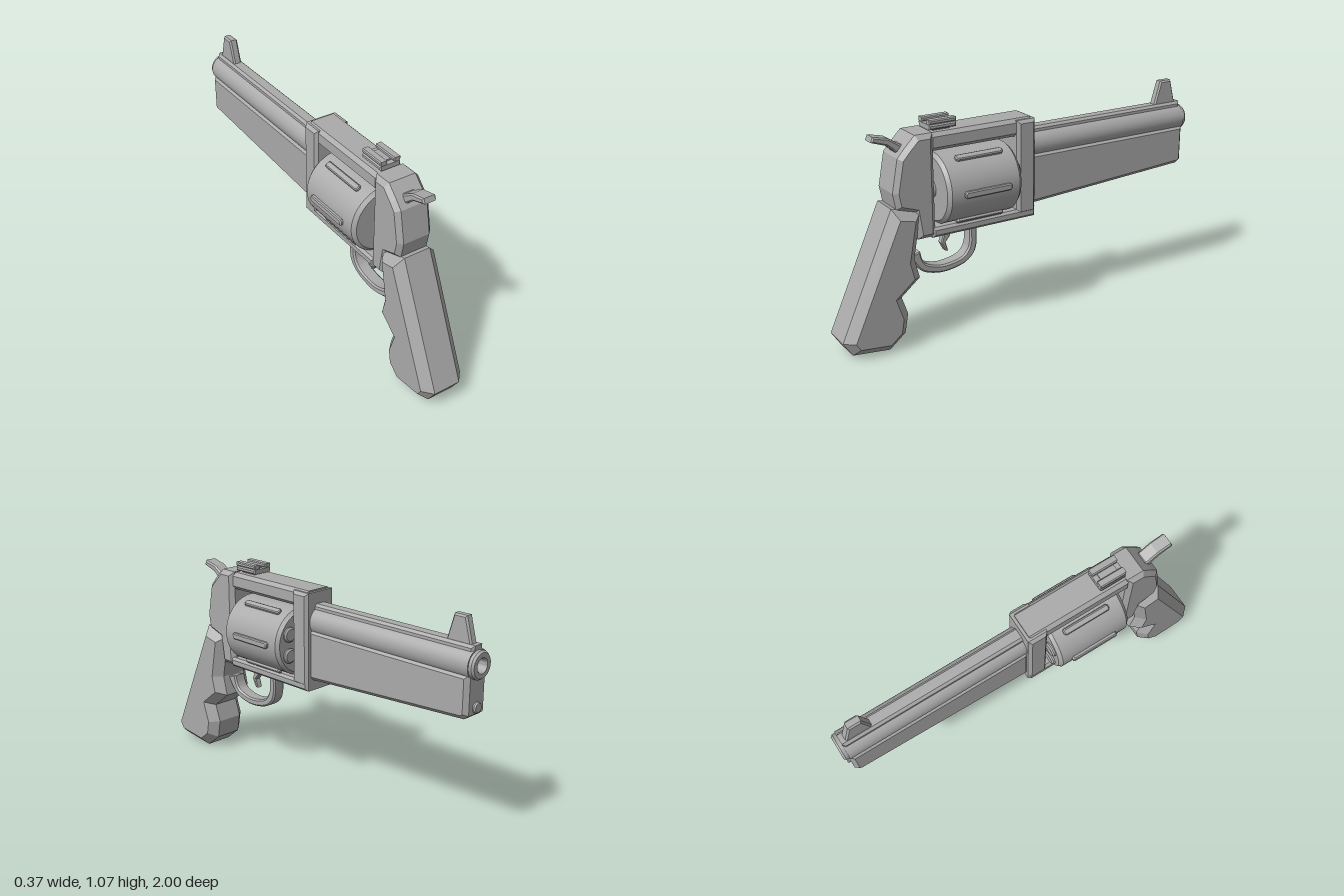
import * as THREE from 'three';
import { toCreasedNormals } from 'three/addons/utils/BufferGeometryUtils.js';

export function createModel() {
  const model = new THREE.Group();
  model.name = 'revolver';
  const steel = new THREE.MeshStandardMaterial({ color: 0xaaaaaa });
  steel.name = 'steel grey';

  const add = (name, geometry, parent = model) => {
    const mesh = new THREE.Mesh(geometry, steel);
    mesh.name = name;
    parent.add(mesh);
    return mesh;
  };

  // Side outline in [z, y], centred on x = 0, with chamfered side edges
  const extrude = (shape, width, bevel, size = bevel) => {
    const depth = width - 2 * bevel;
    const g = new THREE.ExtrudeGeometry(shape, {
      depth, bevelEnabled: bevel > 0, bevelThickness: bevel,
      bevelSize: size, bevelOffset: -size, bevelSegments: 1, curveSegments: 8,
    });
    return g.translate(0, 0, -depth / 2).rotateY(-Math.PI / 2);
  };
  const outline = (pts) => new THREE.Shape(pts.map(([z, y]) => new THREE.Vector2(z, y)));
  const plate = (name, pts, width, bevel, size) => add(name, extrude(outline(pts), width, bevel, size));
  const bar = (name, z0, z1, y0, y1, width, bevel) =>
    plate(name, [[z0, y0], [z1, y0], [z1, y1], [z0, y1]], width, bevel);

  // Turned part along z; profile is [radius, z] from the rear (+z) to the muzzle (-z)
  const turned = (name, pts, x, y, sides = 32, parent = model) => {
    const g = new THREE.LatheGeometry(pts.map(([r, z]) => new THREE.Vector2(r, -z)), sides);
    g.rotateX(-Math.PI / 2);
    const mesh = add(name, toCreasedNormals(g, 0.5), parent);
    mesh.position.set(x, y, 0);
    return mesh;
  };

  // Grip with finger grooves
  plate('grip', [
    [0.73, 0.70], [0.58, 0.665], [0.622, 0.435], [0.597, 0.335], [0.695, 0.255],
    [0.665, 0.165], [0.682, 0.07], [0.765, 0.003], [0.955, 0.025], [1.0, 0.095],
  ], 0.23, 0.045, 0.042);

  // Frame
  plate('frameRear', [
    [0.51, 0.525], [0.60, 0.525], [0.62, 0.66], [0.705, 0.69], [0.72, 0.77],
    [0.69, 0.93], [0.655, 0.97], [0.60, 1.025], [0.51, 1.025],
  ], 0.185, 0.022);
  bar('topStrap', -0.02, 0.53, 0.935, 1.022, 0.16, 0.018);
  bar('bottomStrap', -0.035, 0.53, 0.522, 0.57, 0.185, 0.012);
  bar('frameFront', -0.035, 0.067, 0.545, 1.015, 0.19, 0.015);

  // Cylinder with ribs and chamber noses
  const cylY = 0.735;
  const cylinder = new THREE.Group();
  cylinder.name = 'cylinder';
  cylinder.position.y = cylY;
  model.add(cylinder);
  turned('cylinderDrum', [[0, 0.485], [0.155, 0.485], [0.172, 0.468], [0.172, 0.105],
    [0.157, 0.088], [0, 0.088]], 0, 0, 40, cylinder);
  turned('cylinderAxle', [[0, 0.53], [0.045, 0.53], [0.045, 0.05], [0, 0.05]], 0, 0, 20, cylinder);
  for (let i = 0; i < 6; i++) {
    const a = i * Math.PI / 3;
    const rib = add('cylinderRib', extrude(outline([
      [0.155, -0.008], [0.163, -0.016], [0.397, -0.016], [0.405, -0.008],
      [0.405, 0.008], [0.397, 0.016], [0.163, 0.016], [0.155, 0.008],
    ]), 0.04, 0.005), cylinder);
    rib.position.set(Math.cos(a) * 0.167, Math.sin(a) * 0.167, 0);
    rib.rotation.z = a;
    const c = a + Math.PI / 6;
    turned('chamberNose', [[0, 0.1], [0.038, 0.1], [0.038, 0.08], [0.03, 0.073], [0, 0.073]],
      Math.cos(c) * 0.108, Math.sin(c) * 0.108, 16, cylinder);
  }

  // Barrel with a hollow muzzle, sighting rib and underlug
  turned('barrel', [[0, 0], [0.072, 0], [0.072, -0.975], [0.066, -0.975], [0.066, -0.99],
    [0.058, -1.0], [0.036, -1.0], [0.03, -0.99], [0.03, -0.9], [0, -0.9]], 0, 0.868);
  bar('barrelRib', -0.975, -0.02, 0.90, 0.956, 0.072, 0.012);
  plate('underlug', [[-0.02, 0.575], [-0.02, 0.835], [-0.978, 0.835], [-0.978, 0.645], [-0.955, 0.627]],
    0.14, 0.02);
  turned('ejectorRodTip', [[0, -0.95], [0.026, -0.95], [0.026, -0.985], [0.021, -0.992], [0, -0.992]],
    0, 0.675, 16);

  // Sights
  plate('frontSight', [[-0.815, 0.945], [-0.853, 1.075], [-0.92, 1.075], [-0.955, 0.945]], 0.044, 0.008);
  bar('rearSightStem', 0.40, 0.49, 1.01, 1.06, 0.07, 0);
  bar('rearSightBase', 0.375, 0.515, 1.03, 1.053, 0.11, 0.006);
  for (const side of [-1, 1]) {
    bar('rearSightRail', 0.375, 0.515, 1.055, 1.075, 0.038, 0.005).position.x = side * 0.036;
  }

  // Hammer
  plate('hammer', [
    [0.60, 0.93], [0.665, 0.935], [0.69, 0.96], [0.72, 0.985], [0.795, 1.01],
    [0.785, 1.035], [0.71, 1.018], [0.65, 0.98], [0.60, 0.985],
  ], 0.07, 0.007);

  // Trigger and its guard
  plate('trigger', [
    [0.445, 0.54], [0.39, 0.54], [0.40, 0.485], [0.426, 0.455], [0.413, 0.41],
    [0.428, 0.412], [0.45, 0.455], [0.435, 0.50],
  ], 0.036, 0.005);
  const v = (z, y) => new THREE.Vector2(z, y);
  const guard = new THREE.Shape();
  guard.moveTo(0.262, 0.54);
  guard.lineTo(0.262, 0.43);
  guard.splineThru([v(0.28, 0.375), v(0.34, 0.33), v(0.45, 0.312), v(0.55, 0.335), v(0.60, 0.385), v(0.625, 0.43)]);
  guard.lineTo(0.57, 0.443);
  guard.splineThru([v(0.558, 0.40), v(0.53, 0.37), v(0.45, 0.35), v(0.355, 0.365), v(0.315, 0.40), v(0.302, 0.44)]);
  guard.lineTo(0.302, 0.54);
  add('triggerGuard', toCreasedNormals(extrude(guard, 0.07, 0.008), 0.5));

  return model;
}
